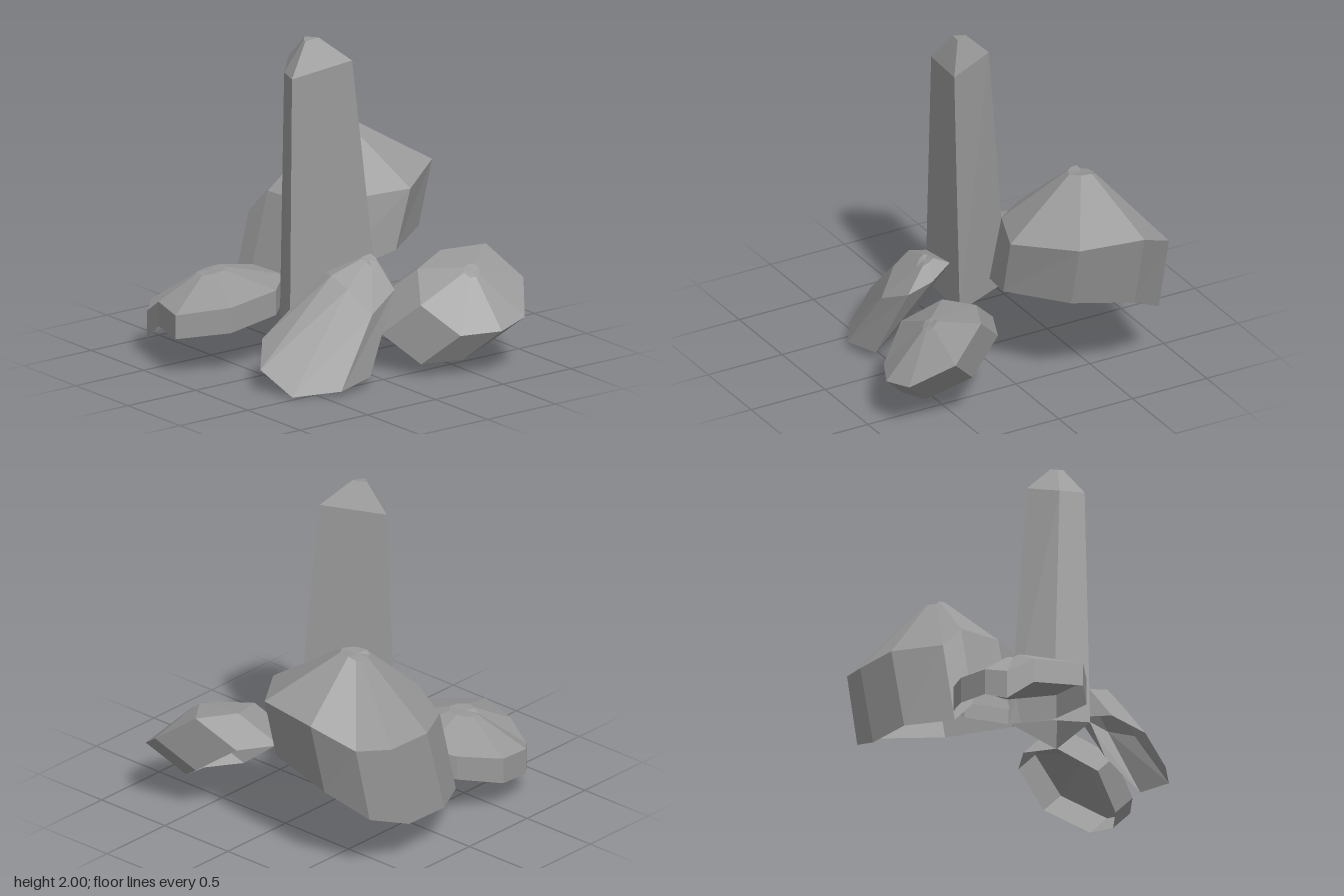
import * as THREE from 'three';

const material = new THREE.MeshStandardMaterial({ color: 0x999999, flatShading: true, side: THREE.DoubleSide });

// One crystal, open below: wall from base ring to shoulder ring, then facets
// that narrow to a small tip, a scaled copy of the shoulder around tipCentre.
// Each row of edges is [base x, y, z, shoulder x, y, z].
function crystal(name, edges, tipCentre, tipScale) {
  const base = edges.map(e => new THREE.Vector3(e[0], e[1], e[2]));
  const shoulder = edges.map(e => new THREE.Vector3(e[3], e[4], e[5]));
  const centre = new THREE.Vector3();
  shoulder.forEach(p => centre.add(p));
  centre.divideScalar(shoulder.length);
  const apex = new THREE.Vector3(...tipCentre);
  const tip = shoulder.map(p => p.clone().sub(centre).multiplyScalar(tipScale).add(apex));

  const points = [];
  const rings = [base, shoulder, tip];
  for (let i = 0; i < edges.length; i++) {
    const j = (i + 1) % edges.length;
    for (let r = 0; r < 2; r++) {
      const lo = rings[r], hi = rings[r + 1];
      points.push(lo[i], lo[j], hi[j], lo[i], hi[j], hi[i]);
    }
    points.push(tip[i], tip[j], apex);
  }
  const geometry = new THREE.BufferGeometry().setFromPoints(points);
  geometry.computeVertexNormals();
  const mesh = new THREE.Mesh(geometry, material);
  mesh.name = name;
  return mesh;
}

export function createModel() {
  const group = new THREE.Group();
  group.name = 'crystalCluster';

  // Tall four-sided column in the middle
  group.add(crystal('tallCrystal', [
    [-0.30, 0.31, 0.13, -0.20, 1.84, 0.16],
    [-0.10, 0.31, 0.30, -0.06, 1.80, 0.30],
    [0.10, 0.31, 0.38, 0.08, 1.80, 0.35],
    [0.20, 0.39, -0.19, 0.15, 1.86, -0.04],
  ], [0, 1.995, 0.17], 0.22));

  // Broad crystal behind on the right
  group.add(crystal('broadCrystal', [
    [-0.885, 0.25, -0.09, -0.885, 0.79, -0.24],
    [-0.71, 0.21, 0.20, -0.71, 0.75, 0.06],
    [-0.57, 0.36, 0.17, -0.57, 0.90, 0.03],
    [-0.30, 0.40, 0.13, -0.30, 0.90, 0.00],
    [-0.10, 0.45, -0.02, -0.10, 0.92, -0.16],
    [0.05, 0.60, -0.44, 0.06, 0.96, -0.54],
    [-0.20, 0.62, -0.80, -0.20, 1.01, -0.90],
    [-0.61, 0.53, -0.83, -0.61, 1.00, -0.95],
    [-0.85, 0.38, -0.70, -0.85, 0.87, -0.82],
    [-0.905, 0.27, -0.42, -0.905, 0.81, -0.57],
  ], [-0.49, 1.245, -0.42], 0.17));

  // Low flat crystal in front on the right
  group.add(crystal('flatCrystal', [
    [-0.83, 0.18, 0.48, -0.83, 0.34, 0.48],
    [-0.80, 0.15, 0.71, -0.80, 0.31, 0.71],
    [-0.71, 0.105, 0.81, -0.71, 0.28, 0.81],
    [-0.55, 0.23, 0.85, -0.55, 0.38, 0.85],
    [-0.27, 0.235, 0.94, -0.27, 0.38, 0.94],
    [-0.09, 0.265, 0.67, -0.09, 0.42, 0.67],
    [-0.10, 0.31, 0.33, -0.10, 0.46, 0.33],
    [-0.30, 0.31, 0.12, -0.30, 0.47, 0.12],
    [-0.58, 0.30, 0.09, -0.58, 0.46, 0.09],
    [-0.72, 0.27, 0.20, -0.72, 0.42, 0.20],
  ], [-0.49, 0.525, 0.52], 0.22));

  // Leaning crystal in front on the left
  group.add(crystal('leaningCrystal', [
    [0.10, 0.36, 0.35, 0.21, 0.67, -0.09],
    [0.12, 0.27, 0.60, 0.20, 0.62, 0.20],
    [0.27, 0.14, 0.73, 0.30, 0.63, 0.23],
    [0.46, 0.00, 0.64, 0.42, 0.57, 0.20],
    [0.62, 0.03, 0.40, 0.55, 0.43, 0.12],
    [0.57, 0.06, 0.15, 0.49, 0.53, -0.09],
    [0.35, 0.25, 0.12, 0.35, 0.60, -0.13],
  ], [0.34, 0.69, -0.02], 0.25));

  // Tilted crystal behind on the left: the base is the shoulder slid along its axis
  const slide = [-0.195, -0.195, 0.14];
  const tilted = [
    [0.31, 0.64, -0.57], [0.40, 0.59, -0.33], [0.60, 0.44, -0.20], [0.80, 0.275, -0.34],
    [0.91, 0.29, -0.56], [0.87, 0.33, -0.76], [0.65, 0.49, -0.92], [0.42, 0.66, -0.82],
  ].map(p => [...p.map((v, k) => v + slide[k]), ...p]);
  group.add(crystal('tiltedCrystal', tilted, [0.62, 0.59, -0.56], 0.15));

  return group;
}
